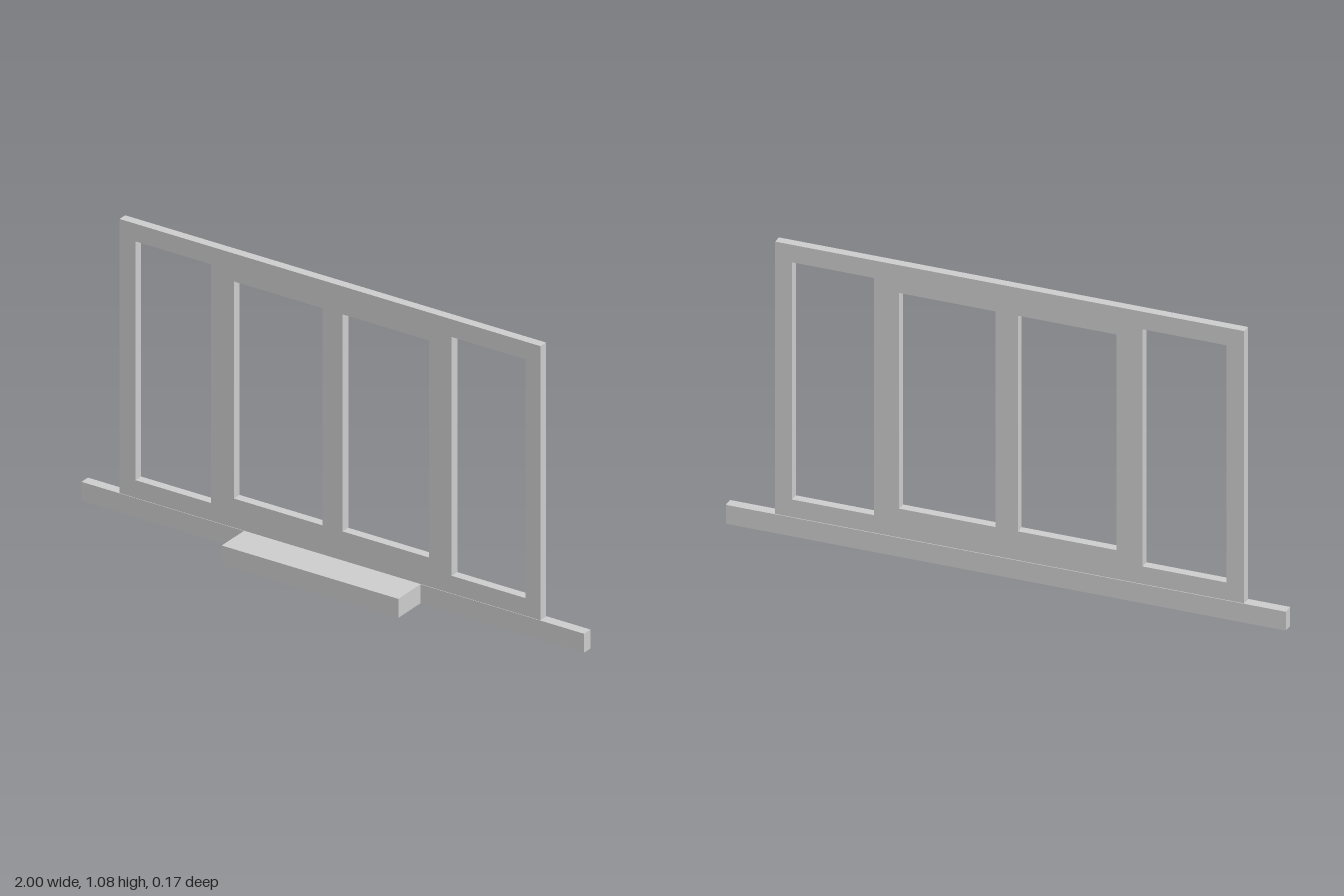
import * as THREE from 'three';

const material = new THREE.MeshStandardMaterial({ color: 0xcccccc });

// Rectangle path from its left, right, bottom and top edges
function rect(Type, [x0, x1, y0, y1]) {
  const path = new Type();
  path.moveTo(x0, y0);
  path.lineTo(x1, y0);
  path.lineTo(x1, y1);
  path.lineTo(x0, y1);
  path.closePath();
  return path;
}

// Flat panel with rectangular openings, between depths z0 and z1
function panel(name, outline, openings, z0, z1) {
  const shape = rect(THREE.Shape, outline);
  shape.holes = openings.map((o) => rect(THREE.Path, o));
  const geometry = new THREE.ExtrudeGeometry(shape, { depth: z1 - z0, bevelEnabled: false });
  geometry.translate(0, 0, z0);
  const mesh = new THREE.Mesh(geometry, material);
  mesh.name = name;
  return mesh;
}

export function createModel() {
  const model = new THREE.Group();
  model.name = 'doubleDoorWithSidelights';

  const back = -0.081, front = -0.048;
  const bottom = 0.135, top = 1.015;

  // Outer frame: two side windows and the doorway
  const doorway = [-0.435, 0.425, bottom, top];
  model.add(panel('doorFrame', [-0.85, 0.825, 0.07, 1.08], [
    [-0.787, -0.487, bottom, top],
    doorway,
    [0.472, 0.765, bottom, top],
  ], back, front));

  // Two door leaves meeting at the centre
  const leaves = [
    ['rightDoorLeaf', doorway[0], 0, -0.395, -0.042],
    ['leftDoorLeaf', 0, doorway[1], 0.038, 0.382],
  ];
  for (const [name, x0, x1, g0, g1] of leaves) {
    model.add(panel(name, [x0, x1, bottom, top], [[g0, g1, 0.177, 0.977]], back, front));
  }

  // Long sill under the frame and the step in front of it
  model.add(panel('sill', [-1, 1, 0, 0.07], [], -0.084, -0.046));
  model.add(panel('step', [-0.354, 0.349, 0, 0.07], [], -0.046, 0.084));

  return model;
}
